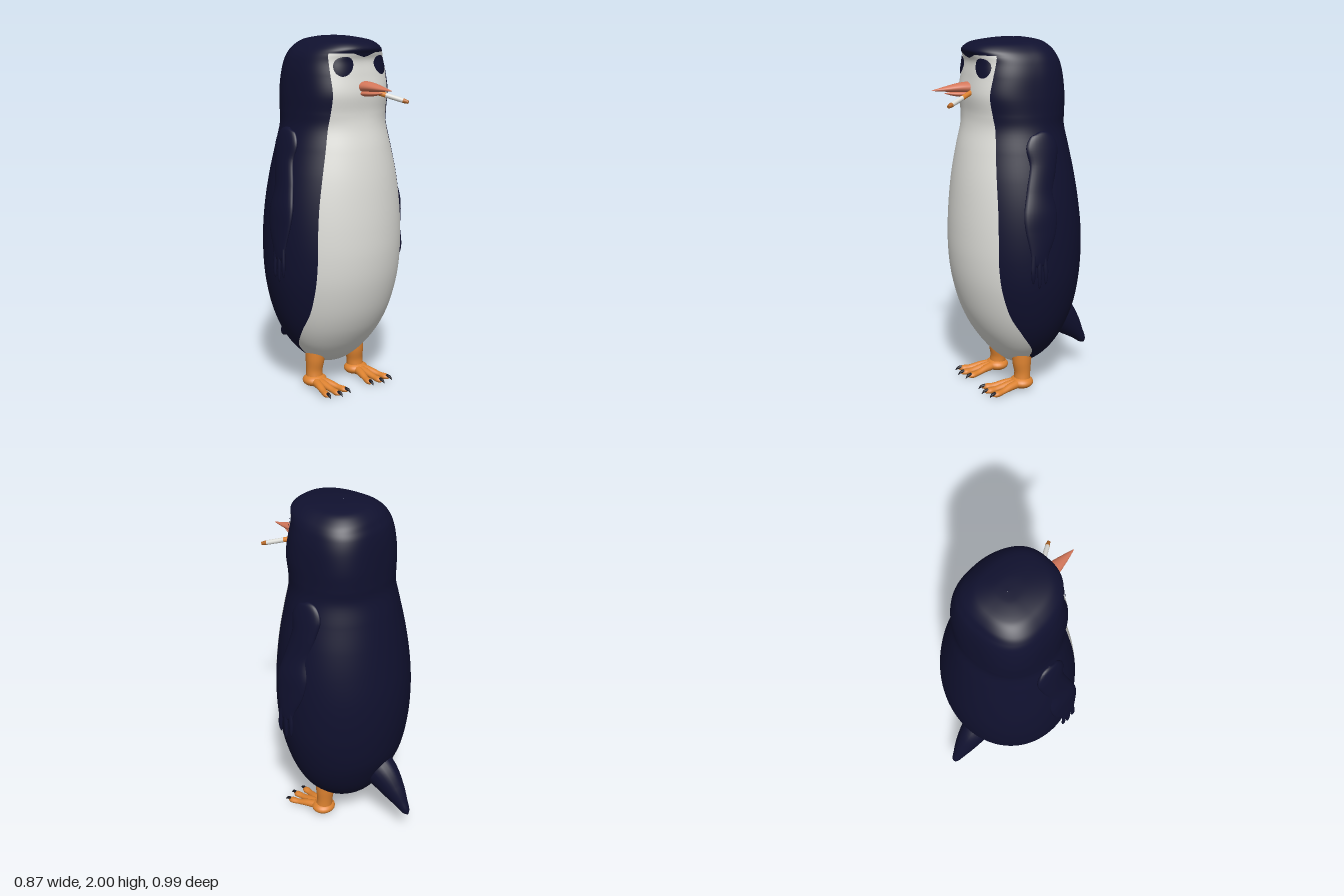
import * as THREE from 'three';
import { ParametricGeometry } from 'three/addons/geometries/ParametricGeometry.js';

const mat = (name, color) => Object.assign(new THREE.MeshStandardMaterial({ color }), { name });

// Body cross-sections: height, half width, front depth, back depth, squareness, bib share of width
const BODY = [
  [0.115, 0.002, 0.002, 0.002, 2, 1],
  [0.13, 0.085, 0.05, 0.08, 2, 1],
  [0.15, 0.135, 0.08, 0.125, 2, 1],
  [0.2, 0.2, 0.135, 0.19, 2, 1],
  [0.28, 0.27, 0.2, 0.25, 2, 0.99],
  [0.38, 0.325, 0.262, 0.3, 2, 0.92],
  [0.5, 0.365, 0.312, 0.345, 2, 0.82],
  [0.65, 0.395, 0.35, 0.37, 2, 0.76],
  [0.8, 0.405, 0.367, 0.38, 2, 0.74],
  [0.95, 0.403, 0.368, 0.376, 2, 0.74],
  [1.1, 0.39, 0.36, 0.358, 2, 0.735],
  [1.25, 0.365, 0.345, 0.333, 2, 0.72],
  [1.4, 0.33, 0.32, 0.302, 2, 0.7],
  [1.52, 0.298, 0.291, 0.272, 2.1, 0.69],
  [1.6, 0.29, 0.283, 0.266, 2.3, 0.67],
  [1.7, 0.285, 0.29, 0.26, 2.5, 0.67],
  [1.8, 0.275, 0.275, 0.25, 2.5, 0.7],
  [1.87, 0.258, 0.265, 0.235, 2.5, 0.74],
  [1.91, 0.24, 0.276, 0.215, 2.5, 0.79],
  [1.94, 0.215, 0.286, 0.195, 2.5, 0.8],
  [1.97, 0.175, 0.255, 0.16, 2.5, 0.8],
  [1.985, 0.135, 0.2, 0.125, 2.4, 0.8],
  [1.997, 0.07, 0.1, 0.06, 2.2, 0.8],
  [2.0, 0.002, 0.002, 0.002, 2, 0.8],
];

// Smooth interpolation between the rows of a table
function sample(rows, t) {
  const last = rows.length - 1;
  t = Math.min(Math.max(t, 0), last);
  const i = Math.min(Math.floor(t), last - 1), f = t - i;
  const [a, b, c, d] = [-1, 0, 1, 2].map(k => rows[Math.min(Math.max(i + k, 0), last)]);
  return b.map((_, k) => b[k] + 0.5 * f * (c[k] - a[k]
    + f * (2 * a[k] - 5 * b[k] + 4 * c[k] - d[k] + f * (3 * (b[k] - c[k]) + d[k] - a[k]))));
}

// Point on the body: angle from the front towards +x, t along the table
function bodyPoint(angle, t, target, swell = 1) {
  const [y, w, f, b, n] = sample(BODY, t);
  const s = Math.sin(angle), c = Math.cos(angle), e = 2 / n;
  return target.set(
    Math.sign(s) * Math.abs(s) ** e * w * swell, y,
    (c > 0 ? f : -b) * Math.abs(c) ** e * swell);
}

// Angle at which the white bib meets the dark coat
function bibAngle(t) {
  const row = sample(BODY, t);
  return Math.asin(Math.min(row[5], 1) ** (row[4] / 2));
}

// Hairline with a small peak in the middle
const hairline = u => 18.2 - 0.65 * Math.max(0, 1 - Math.abs(u - 0.5) / 0.14);

// Smooth solid along a path; rows are x, y, z, half width along side, half thickness
function loft(rows, side, around = 20, along = 6) {
  const S0 = new THREE.Vector3(...side), last = rows.length - 1;
  const T = new THREE.Vector3(), S = new THREE.Vector3(), N = new THREE.Vector3();
  return new ParametricGeometry((u, v, target) => {
    const t = v * last, p = sample(rows, t);
    const p0 = sample(rows, t - 0.05), p1 = sample(rows, t + 0.05);
    T.set(p1[0] - p0[0], p1[1] - p0[1], p1[2] - p0[2]).normalize();
    S.copy(S0).addScaledVector(T, -S0.dot(T)).normalize();
    N.crossVectors(T, S);
    const a = u * Math.PI * 2;
    target.set(p[0], p[1], p[2])
      .addScaledVector(S, Math.cos(a) * p[3]).addScaledVector(N, Math.sin(a) * p[4]);
  }, around, along * last);
}

export function createModel() {
  const navy = mat('navy plumage', 0x10112f);
  const white = mat('white plumage', 0xdfdfda);
  const orange = mat('orange skin', 0xdc8230);
  const coral = mat('coral beak', 0xd4775a);
  const ember = mat('ember', 0xb86a28);
  const dark = mat('dark claw', 0x1a1820);
  const model = new THREE.Group();
  const add = (name, geometry, material, parent = model) => {
    const mesh = new THREE.Mesh(geometry, material);
    mesh.name = name;
    parent.add(mesh);
    return mesh;
  };
  const top = BODY.length - 1;

  // Body: white bib and face, dark crown above the hairline, dark coat round the back
  add('bib', new ParametricGeometry((u, v, p) => {
    const t = v * hairline(u);
    bodyPoint((2 * u - 1) * bibAngle(t), t, p);
  }, 50, 90), white);
  add('crown', new ParametricGeometry((u, v, p) => {
    const h = hairline(u), t = h + v * (top - h);
    bodyPoint((2 * u - 1) * bibAngle(t), t, p);
  }, 50, 24), navy);
  add('coat', new ParametricGeometry((u, v, p) => {
    const t = v * top, a = bibAngle(t);
    bodyPoint(a + u * 2 * (Math.PI - a), t, p);
  }, 70, 115), navy);

  // Tail
  add('tail', loft([
    [0, 0.42, -0.2, 0.1, 0.12],
    [0, 0.35, -0.3, 0.085, 0.105],
    [0, 0.27, -0.38, 0.062, 0.075],
    [0, 0.2, -0.44, 0.038, 0.042],
    [0, 0.155, -0.475, 0.022, 0.024],
    [0, 0.135, -0.49, 0.002, 0.002],
  ], [1, 0, 0]), navy);

  // Beak
  add('upperBeak', loft([
    [0, 1.735, 0.25, 0.052, 0.034], [0, 1.738, 0.33, 0.042, 0.026],
    [0, 1.734, 0.42, 0.022, 0.013], [0, 1.73, 0.495, 0.001, 0.001],
  ], [1, 0, 0]), coral);
  add('lowerBeak', loft([
    [0, 1.702, 0.25, 0.045, 0.018], [0, 1.705, 0.35, 0.03, 0.013],
    [0, 1.712, 0.42, 0.001, 0.001],
  ], [1, 0, 0]), coral);

  // Cigarette: filter, paper and glowing end along one line
  const cigarette = new THREE.Group();
  cigarette.name = 'cigarette';
  model.add(cigarette);
  const start = new THREE.Vector3(0.04, 1.715, 0.275), end = new THREE.Vector3(0.146, 1.66, 0.463);
  const axis = end.clone().sub(start);
  for (const [name, from, to, r, material] of [
    ['filter', 0, 0.42, 0.0135, orange],
    ['paper', 0.42, 0.87, 0.013, white],
    ['glowingEnd', 0.87, 1, 0.009, ember],
  ]) {
    const part = add(name, new THREE.CylinderGeometry(r, 0.0135, axis.length() * (to - from), 16),
      material, cigarette);
    part.position.copy(start).addScaledVector(axis, (from + to) / 2);
    part.quaternion.setFromUnitVectors(new THREE.Vector3(0, 1, 0), axis.clone().normalize());
  }

  for (const s of [1, -1]) {
    const label = s > 0 ? 'left' : 'right';

    // Eye patch following the face
    add(label + 'Eye', new ParametricGeometry((u, v, p) => {
      const a = u * Math.PI * 2, r = 1 - 0.99 * v, up = Math.sin(a);
      bodyPoint(s * 0.42 + 0.225 * r * Math.cos(a), 16.75 + r * up * (up > 0 ? 0.95 : 0.8),
        p, 1.015 + 0.02 * (1 - r * r));
    }, 32, 8), navy);

    // Wing with three feather tips
    const wing = new THREE.Group();
    wing.name = label + 'Wing';
    model.add(wing);
    add('flipper', loft([
      [0.297, 1.515, 0, 0.004, 0.004],
      [0.303, 1.495, -0.003, 0.062, 0.02],
      [0.315, 1.43, -0.005, 0.095, 0.028],
      [0.335, 1.33, 0, 0.08, 0.028],
      [0.36, 1.2, 0.03, 0.08, 0.026],
      [0.387, 1.08, 0.04, 0.1, 0.026],
      [0.404, 0.98, 0.047, 0.09, 0.02],
      [0.418, 0.88, 0.06, 0.058, 0.014],
      [0.423, 0.82, 0.065, 0.044, 0.01],
      [0.424, 0.8, 0.065, 0.004, 0.004],
    ].map(([x, ...rest]) => [s * x, ...rest]), [0, 0, 1], 24), navy, wing);
    for (const [z, tip] of [[0.105, 0.71], [0.066, 0.68], [0.028, 0.7]]) {
      add('featherTip', loft([
        [s * 0.421, 0.87, 0.065 + (z - 0.065) * 0.8, 0.014, 0.009],
        [s * 0.427, 0.78, z, 0.014, 0.009],
        [s * 0.426, tip + 0.02, z, 0.009, 0.007],
        [s * 0.425, tip, z, 0.001, 0.001],
      ], [0, 0, 1], 10, 4), navy, wing);
    }

    // Leg and foot with three clawed toes
    const foot = new THREE.Group();
    foot.name = label + 'Foot';
    model.add(foot);
    add('leg', loft([
      [s * 0.145, 0.26, 0.02, 0.055, 0.058],
      [s * 0.147, 0.17, 0.023, 0.055, 0.055],
      [s * 0.152, 0.1, 0.022, 0.048, 0.046],
      [s * 0.155, 0.04, 0.027, 0.052, 0.05],
    ], [1, 0, 0]), orange, foot);
    const heel = add('heel', new THREE.SphereGeometry(1, 28, 16), orange, foot);
    heel.scale.set(0.072, 0.036, 0.068);
    heel.position.set(s * 0.155, 0.045, 0.03);
    for (const k of [-1, 0, 1]) {
      const x = d => s * (0.157 + k * d), reach = k ? 0 : 0.015;
      add('toe', loft([
        [x(0.015), 0.045, 0.05, 0.028, 0.025],
        [x(0.035), 0.04, 0.12, 0.024, 0.021],
        [x(0.053), 0.03, 0.18 + reach, 0.019, 0.015],
        [x(0.064), 0.027, 0.225 + reach, 0.021, 0.016],
        [x(0.068), 0.023, 0.252 + reach, 0.003, 0.003],
      ], [1, 0, 0], 14, 5), orange, foot);
      add('claw', loft([
        [x(0.065), 0.034, 0.233 + reach, 0.01, 0.011],
        [x(0.069), 0.032, 0.255 + reach, 0.008, 0.008],
        [x(0.072), 0.018, 0.272 + reach, 0.001, 0.001],
      ], [1, 0, 0], 10, 4), dark, foot);
    }
  }

  // Stand the feet on the ground
  const box = new THREE.Box3().setFromObject(model);
  model.children.forEach(c => { if (/Foot$/.test(c.name)) c.position.y = -box.min.y; });
  return model;
}
